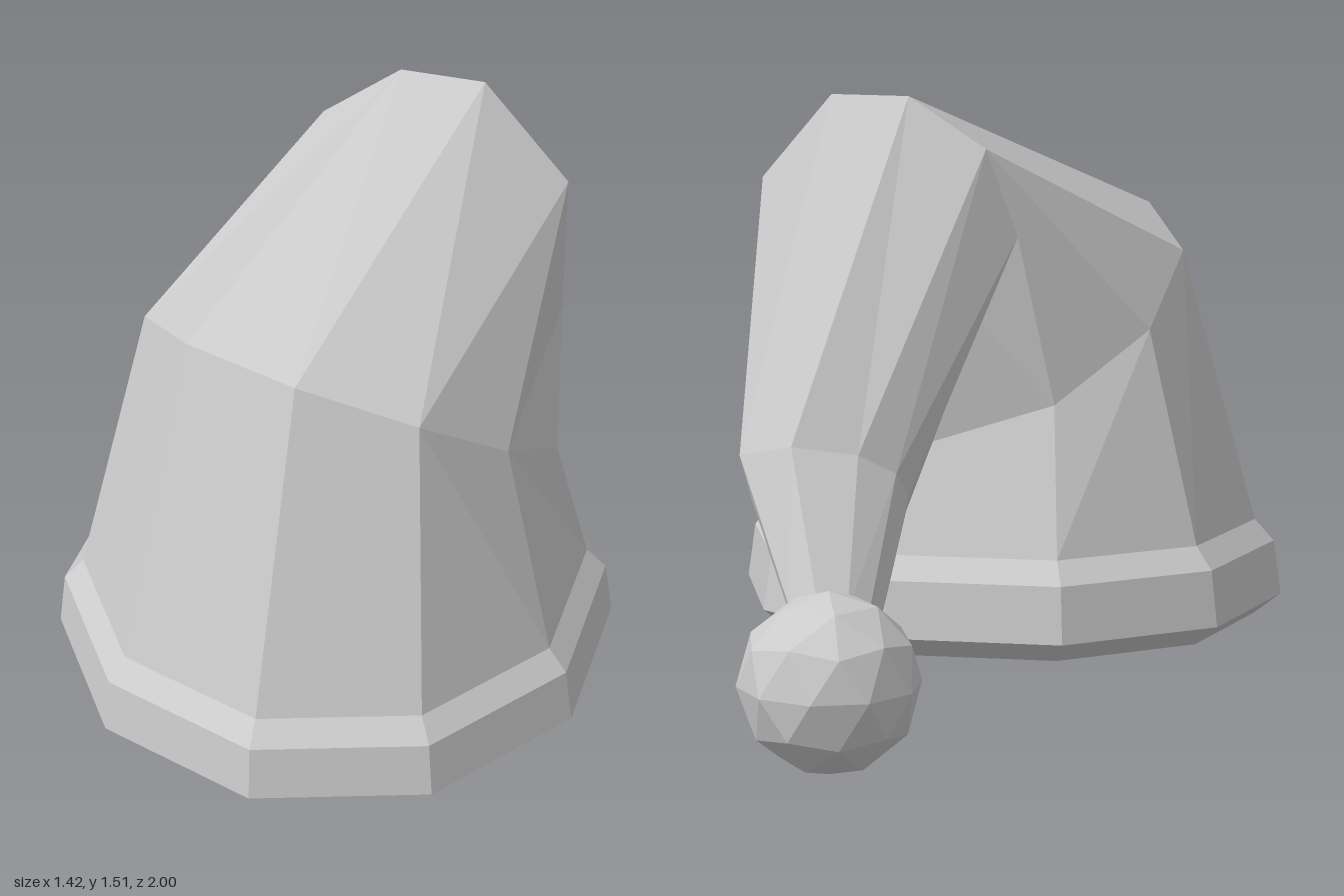
import * as THREE from 'three';

const SIDES = 10;
const HEAD_Z = 0.325; // centre of the head opening

// Skin a stack of ten-sided rings with flat quads; the crown is split
// symmetrically left and right, the tail rings all lean the same way
function skin(rings) {
  const pos = [];
  for (let i = 0; i < rings.length - 1; i++) {
    const lo = rings[i], up = rings[i + 1];
    for (let j = 0; j < SIDES; j++) {
      const k = (j + 1) % SIDES;
      const tris = j < 5 || i > 1
        ? [lo[k], lo[j], up[j], lo[k], up[j], up[k]]
        : [lo[k], lo[j], up[k], lo[j], up[j], up[k]];
      pos.push(...tris.flat());
    }
  }
  const g = new THREE.BufferGeometry();
  g.setAttribute('position', new THREE.Float32BufferAttribute(pos, 3));
  g.computeVertexNormals();
  return g;
}

// Level ring around the head opening
function levelRing(r, y) {
  return Array.from({ length: SIDES }, (_, j) => {
    const a = (18 + 36 * j) * Math.PI / 180;
    return [-r * Math.sin(a), y, HEAD_Z + r * Math.cos(a)];
  });
}

export function createModel() {
  const hat = new THREE.Group();
  hat.name = 'floppyHat';
  const mat = new THREE.MeshStandardMaterial({
    color: 0xcccccc, flatShading: true, side: THREE.DoubleSide,
  });
  const add = (name, geo) => {
    const m = new THREE.Mesh(geo, mat);
    m.name = name;
    hat.add(m);
    return m;
  };

  // Thick bevelled brim
  const profile = [
    [0.64, 0.145], [0.71, 0.2], [0.69, 0.34], [0.64, 0.395], [0.54, 0.395],
    [0.49, 0.34], [0.49, 0.2], [0.55, 0.145], [0.64, 0.145],
  ].map(([r, y]) => new THREE.Vector2(r, y));
  add('brim', new THREE.LatheGeometry(profile, SIDES, Math.PI / 10)).position.z = HEAD_Z;

  // Crown that leans back, folds over and tapers into the tail
  const crown = [
    [-0.155, 1.2, 0.685], [-0.4, 1.1, 0.54], [-0.495, 0.925, 0.305],
    [-0.42, 0.755, 0.04], [-0.17, 0.65, -0.19],
    [0.19, 0.65, -0.19], [0.47, 0.755, 0.035], [0.495, 0.925, 0.305],
    [0.4, 1.1, 0.54], [0.155, 1.2, 0.685],
  ];
  const fold = [
    [-0.155, 1.51, -0.2], [-0.32, 1.385, -0.1], [-0.36, 1.17, -0.03],
    [-0.3, 0.97, -0.1], [-0.19, 0.84, -0.12], [-0.03, 0.8, -0.15],
    [0.13, 0.86, -0.2], [0.325, 0.98, -0.21], [0.285, 1.295, -0.285],
    [0.05, 1.51, -0.265],
  ];
  const tail = [
    [-0.335, 0.69, -0.54], [-0.37, 0.64, -0.45], [-0.36, 0.58, -0.4],
    [-0.31, 0.53, -0.36], [-0.22, 0.485, -0.345], [-0.1, 0.475, -0.37],
    [0, 0.485, -0.45], [0.01, 0.54, -0.57], [-0.05, 0.67, -0.66],
    [-0.245, 0.715, -0.67],
  ];
  const tip = [
    [-0.49, 0.37, -0.72], [-0.51, 0.33, -0.68], [-0.51, 0.29, -0.65],
    [-0.48, 0.27, -0.63], [-0.44, 0.26, -0.63], [-0.39, 0.26, -0.66],
    [-0.36, 0.28, -0.71], [-0.35, 0.32, -0.76], [-0.37, 0.37, -0.79],
    [-0.44, 0.4, -0.77],
  ];
  add('crownAndTail', skin([levelRing(0.64, 0.395), crown, fold, tail, tip]));

  // Faceted ball on the end of the tail, turned so one corner points up
  const pompom = add('pompom', new THREE.IcosahedronGeometry(0.213, 1));
  pompom.position.set(-0.5, 0.217, -0.787);
  pompom.rotation.z = -Math.atan(2 / (1 + Math.sqrt(5)));

  return hat;
}
